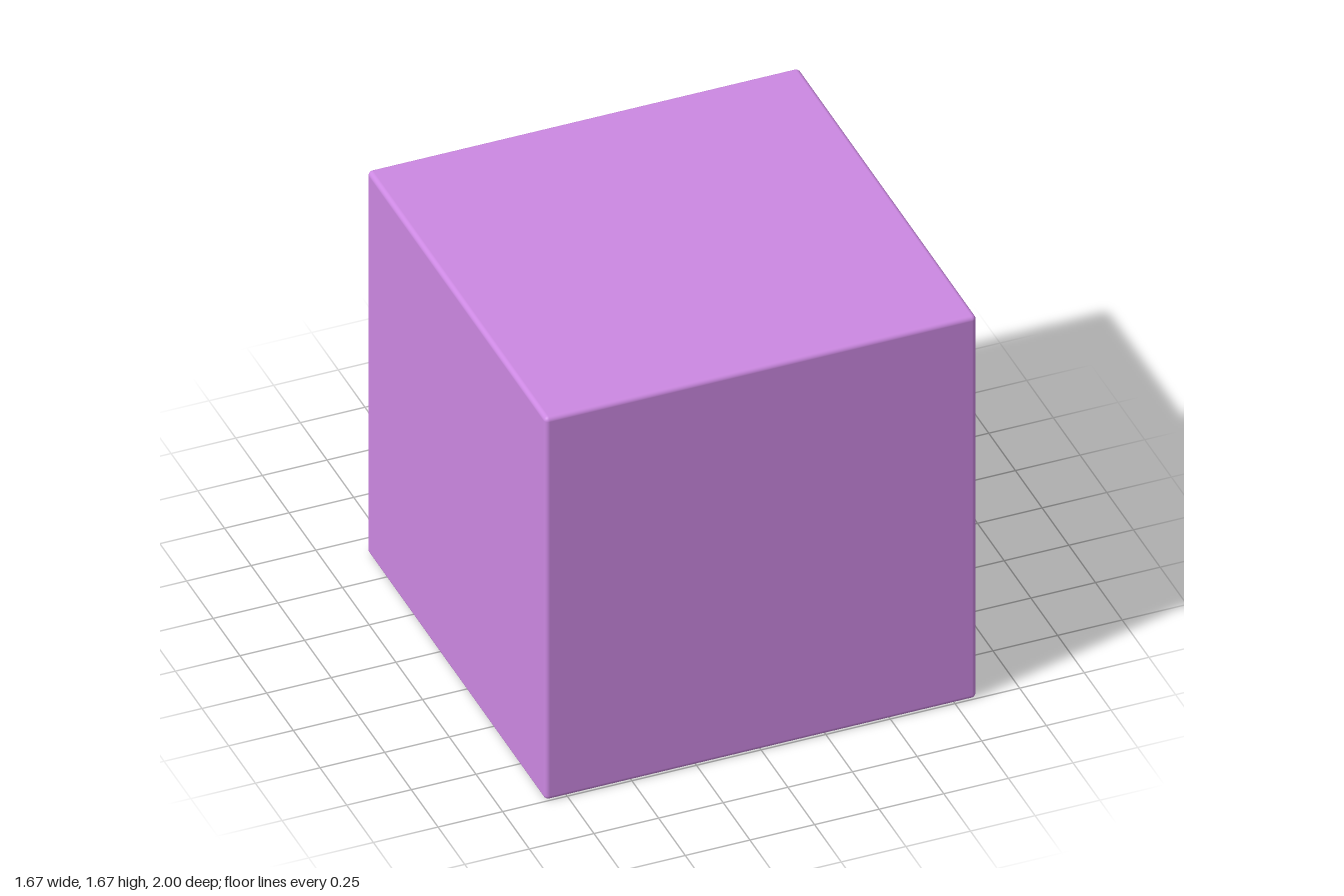
import * as THREE from 'three';
import { RoundedBoxGeometry } from 'three/addons/geometries/RoundedBoxGeometry.js';
import { toCreasedNormals } from 'three/addons/utils/BufferGeometryUtils.js';

const FACE_Z = -0.67; // the face is on the back side of the cube

const purple = new THREE.MeshStandardMaterial({ color: 0xcc88e2 });
const grey = new THREE.MeshStandardMaterial({ color: 0xcccccc });
const black = new THREE.MeshStandardMaterial({ color: 0x080808 });

function addMesh(parent, name, geometry, material) {
  const mesh = new THREE.Mesh(geometry, material);
  mesh.name = name;
  parent.add(mesh);
  return mesh;
}

// Disc with a rounded rim, standing on the face and pointing to -z
function discGeometry(radius, depth, rim) {
  const points = [new THREE.Vector2(radius, 0)];
  for (let i = 0; i <= 6; i++) {
    const a = (i / 6) * Math.PI / 2;
    points.push(new THREE.Vector2(
      radius - rim + rim * Math.cos(a),
      depth - Math.min(rim, depth) * (1 - Math.sin(a))
    ));
  }
  points.push(new THREE.Vector2(0, depth));
  return toCreasedNormals(new THREE.LatheGeometry(points, 48).rotateX(-Math.PI / 2), 0.6);
}

// Wedge nose: side profile (depth out of the face, height) extruded across x
function noseGeometry() {
  const bevel = 0.008, width = 0.255;
  const shape = new THREE.Shape([
    new THREE.Vector2(-0.03, 1.57),
    new THREE.Vector2(-0.03, 0.465),
    new THREE.Vector2(0, 0.473),
    new THREE.Vector2(0.318, 0.613),
  ]);
  const geometry = new THREE.ExtrudeGeometry(shape, {
    depth: width - 2 * bevel, bevelThickness: bevel, bevelSize: bevel, bevelSegments: 3,
  });
  geometry.translate(0, 0, -width / 2 + bevel);
  geometry.rotateY(Math.PI / 2);
  return toCreasedNormals(geometry, 0.6);
}

export function createModel() {
  const model = new THREE.Group();
  model.name = 'cubeHead';

  // Head
  addMesh(model, 'head', new RoundedBoxGeometry(1.67, 1.675, 1.67, 4, 0.018), purple)
    .position.set(0, 0.8375, 0.165);

  // Nose
  addMesh(model, 'nose', noseGeometry(), purple).position.set(0, 0, FACE_Z);

  // Eyes, with pupils set inwards and slightly down
  for (const [side, name] of [[1, 'left'], [-1, 'right']]) {
    const eye = new THREE.Group();
    eye.name = name + 'Eye';
    eye.position.set(side * 0.455, 0.977, FACE_Z);
    addMesh(eye, name + 'Eyeball', discGeometry(0.203, 0.022, 0.022), grey);
    addMesh(eye, name + 'Pupil', discGeometry(0.09, 0.031, 0.005), black)
      .position.set(-side * 0.047, -0.027, 0);
    model.add(eye);
  }
  return model;
}
